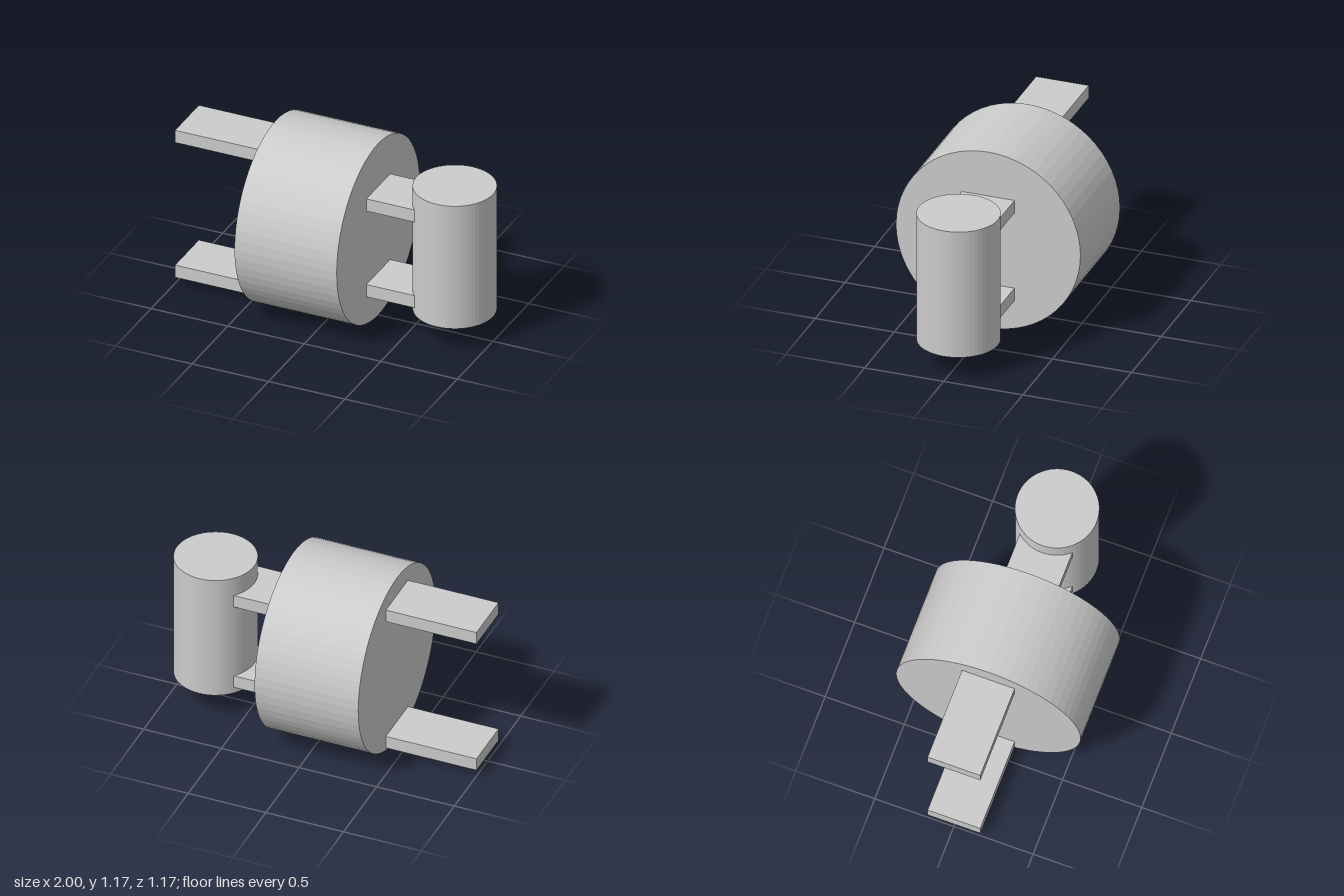
import * as THREE from 'three';

const material = new THREE.MeshStandardMaterial({ color: 0xcccccc, flatShading: true });

function addPart(group, name, geometry, x, y) {
  const mesh = new THREE.Mesh(geometry, material);
  mesh.name = name;
  mesh.position.set(x, y, 0);
  group.add(mesh);
  return mesh;
}

// Flat bar running along x between two ends
function addBar(group, name, x0, x1, y) {
  addPart(group, name, new THREE.BoxGeometry(x1 - x0, 0.083, 0.333), (x0 + x1) / 2, y);
}

export function createModel() {
  const model = new THREE.Group();
  model.name = 'model';

  // Large drum lying along x
  const drum = addPart(model, 'drum', new THREE.CylinderGeometry(0.583, 0.583, 0.667, 60), -0.083, 0.583);
  drum.rotation.z = Math.PI / 2;

  // Small upright cylinder
  addPart(model, 'uprightCylinder', new THREE.CylinderGeometry(0.25, 0.25, 0.833, 60), 0.75, 0.583);

  // Long bars on the right side, connecting bars on the left side
  addBar(model, 'upperRightBar', -1, -0.41, 1.0);
  addBar(model, 'lowerRightBar', -1, -0.41, 0.083);
  addBar(model, 'upperConnector', 0.24, 0.6, 0.833);
  addBar(model, 'lowerConnector', 0.24, 0.6, 0.25);

  return model;
}
